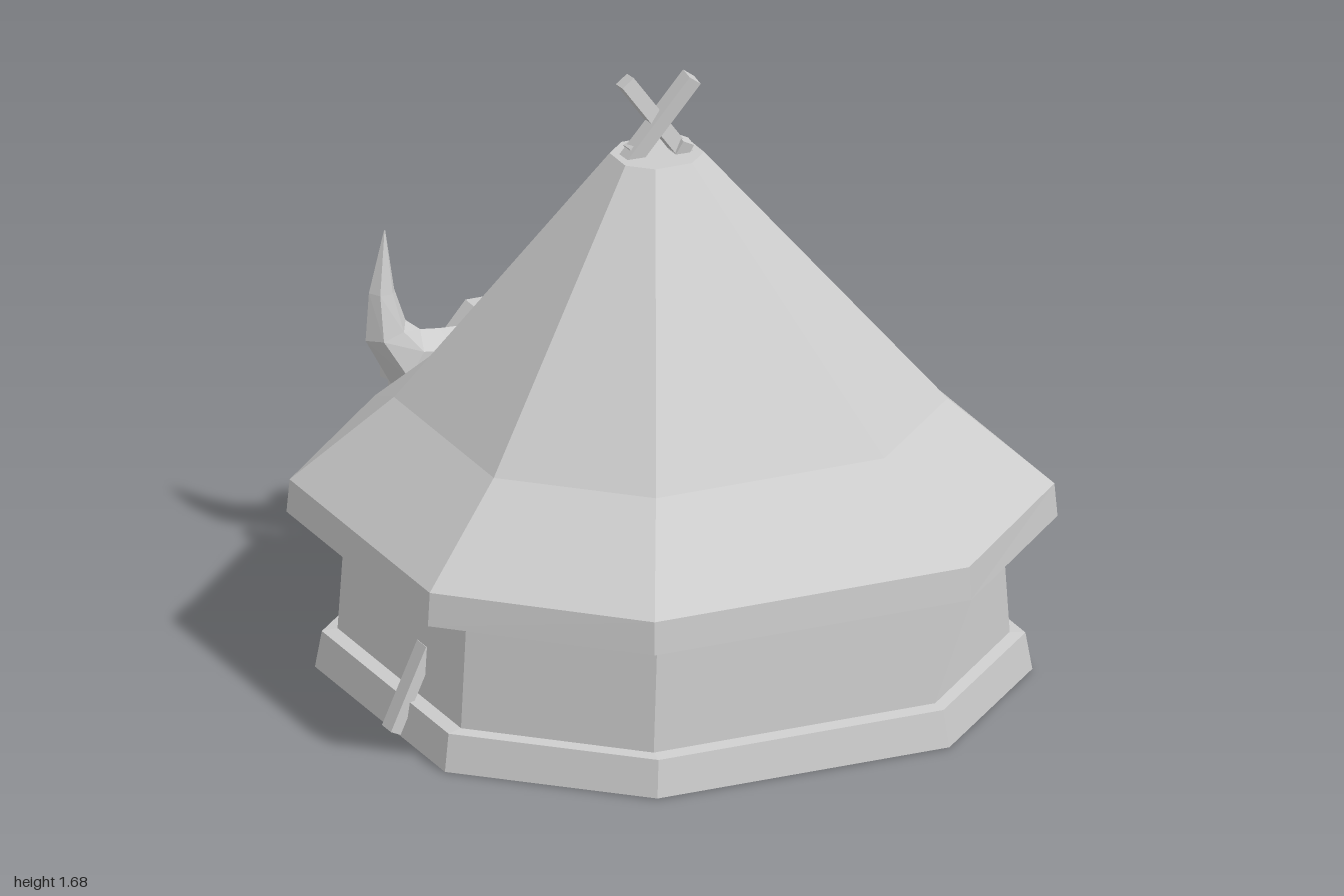
import * as THREE from 'three';

const clay = new THREE.MeshStandardMaterial({ color: 0xcccccc, side: THREE.DoubleSide, flatShading: true });
clay.name = 'light grey';

const CX = -0.03; // mirror plane of the hut

// Eight-cornered ring: half widths ax, az and half lengths bx, bz of the straight sides
function octagon(y, cx, cz, ax, az, bx, bz) {
  return [[ax, -bz], [ax, bz], [bx, az], [-bx, az], [-ax, bz], [-ax, -bz], [-bx, -az], [bx, -az]]
    .map(([x, z]) => new THREE.Vector3(cx + x, y, cz + z));
}

// Skin over successive rings, with optional flat ends
function loft(rings, capStart = false, capEnd = false) {
  const pts = [];
  const n = rings[0].length;
  const cap = (ring, flip) => {
    for (let i = 1; i < n - 1; i++) {
      pts.push(ring[0], ...(flip ? [ring[i], ring[i + 1]] : [ring[i + 1], ring[i]]));
    }
  };
  for (let r = 0; r < rings.length - 1; r++) {
    for (let i = 0; i < n; i++) {
      const j = (i + 1) % n;
      const [a, b, A, B] = [rings[r][i], rings[r][j], rings[r + 1][i], rings[r + 1][j]];
      pts.push(a, A, b, b, A, B);
    }
  }
  if (capStart) cap(rings[0], true);
  if (capEnd) cap(rings[rings.length - 1], false);
  const g = new THREE.BufferGeometry().setFromPoints(pts);
  g.computeVertexNormals();
  return g;
}

export function createModel() {
  const hut = new THREE.Group();
  hut.name = 'tentHut';

  function add(name, geometry, x = 0, y = 0, z = 0, parent = hut) {
    const m = new THREE.Mesh(geometry, clay);
    m.name = name;
    m.position.set(x, y, z);
    parent.add(m);
    return m;
  }
  const box = (name, x0, x1, y0, y1, z0, z1) =>
    add(name, new THREE.BoxGeometry(x1 - x0, y1 - y0, z1 - z0), (x0 + x1) / 2, (y0 + y1) / 2, (z0 + z1) / 2);

  // Straight timber between two points
  function beam(name, from, to, w, d) {
    const a = new THREE.Vector3(...from), b = new THREE.Vector3(...to);
    const dir = b.clone().sub(a);
    const m = add(name, new THREE.BoxGeometry(w, dir.length(), d), ...a.add(b).multiplyScalar(0.5).toArray());
    m.quaternion.setFromUnitVectors(new THREE.Vector3(0, 1, 0), dir.normalize());
    return m;
  }

  // Plinth, open below with a raised floor
  const wallFoot = octagon(0.105, CX, 0.147, 0.78, 0.738, 0.4, 0.377);
  add('plinth', loft([
    octagon(0, CX, 0.147, 0.835, 0.793, 0.415, 0.397),
    octagon(0.1, CX, 0.147, 0.82, 0.778, 0.405, 0.387),
    wallFoot,
  ]));
  add('floor', loft([octagon(0.09, CX, 0.147, 0.82, 0.778, 0.405, 0.387), wallFoot], true));

  // Walls
  const wallHead = octagon(0.43, CX, 0.147, 0.76, 0.733, 0.387, 0.37);
  add('walls', loft([wallFoot, wallHead]));

  // Flared tent roof with thick eaves
  add('roof', loft([
    wallHead,
    octagon(0.425, CX, 0.137, 0.895, 0.86, 0.45, 0.432),
    octagon(0.515, CX, 0.137, 0.888, 0.855, 0.447, 0.428),
    octagon(0.75, -0.035, 0.14, 0.645, 0.608, 0.325, 0.305),
    octagon(1.457, -0.093, 0.18, 0.112, 0.104, 0.052, 0.048),
  ], false, true));

  // Crossed poles and short stubs at the peak
  beam('peakPole', [-0.01, 1.43, 0.19], [-0.175, 1.662, 0.16], 0.04, 0.045);
  beam('peakPole', [-0.18, 1.43, 0.17], [-0.005, 1.662, 0.205], 0.04, 0.045);
  beam('peakStub', [-0.13, 1.43, 0.17], [-0.157, 1.488, 0.165], 0.035, 0.04);
  beam('peakStub', [-0.05, 1.43, 0.19], [-0.02, 1.488, 0.2], 0.035, 0.04);

  // Entrance porch with a chamfered top
  const arch = (Type, w, top, shoulder, flat, y0) => {
    const s = new Type();
    s.moveTo(-w, y0);
    s.lineTo(w, y0);
    s.lineTo(w, shoulder);
    s.lineTo(flat, top);
    s.lineTo(-flat, top);
    s.lineTo(-w, shoulder);
    s.closePath();
    return s;
  };
  const porch = arch(THREE.Shape, 0.275, 0.685, 0.52, 0.135, 0.03);
  porch.holes.push(arch(THREE.Path, 0.225, 0.64, 0.5, 0.115, 0.05));
  add('porch', new THREE.ExtrudeGeometry(porch, { depth: 0.33, bevelEnabled: false }), CX, 0, -0.835);
  const door = arch(THREE.Shape, 0.23, 0.645, 0.5, 0.117, 0.045);
  add('door', new THREE.ExtrudeGeometry(door, { depth: 0.03, bevelEnabled: false }), CX, 0, -0.815);
  const knob = add('doorKnob', new THREE.CylinderGeometry(0.02, 0.02, 0.035, 6), 0.13, 0.27, -0.83);
  knob.rotation.x = Math.PI / 2;

  // Horns either side of the porch: a tapering six-sided sweep
  const path = [[0.12, 0.6, 0.05], [0.24, 0.575, 0.078], [0.34, 0.59, 0.08], [0.395, 0.67, 0.06], [0.405, 0.78, 0.036], [0.395, 0.945, 0.002]];
  const rings = path.map(([x, y, r], i) => {
    const p = path[Math.max(i - 1, 0)], q = path[Math.min(i + 1, path.length - 1)];
    const t = new THREE.Vector2(q[0] - p[0], q[1] - p[1]).normalize();
    return Array.from({ length: 6 }, (_, k) => {
      const a = -k * Math.PI / 3;
      const c = Math.cos(a) * r;
      return new THREE.Vector3(x - t.y * c, y + t.x * c, -0.755 + Math.sin(a) * r - 0.003 * i);
    });
  });
  const hornShape = loft(rings, true, true);
  for (const side of [1, -1]) {
    add('horn', hornShape, CX).scale.x = side;
    // Posts at the rear wall corners
    beam('rearPost', [CX + side * 0.4, 0, -0.6], [CX + side * 0.39, 0.44, -0.635], 0.05, 0.05);
    // Short posts against the porch sides
    box('porchJamb', CX + side * 0.29 - 0.03, CX + side * 0.29 + 0.03, 0.02, 0.5, -0.68, -0.62);
    // Leaning props on the side walls
    if (side > 0) beam('sideProp', [0.83, 0.02, 0.27], [0.765, 0.14, 0.27], 0.03, 0.055);
    else beam('sideProp', [-0.89, 0.02, 0.27], [-0.79, 0.24, 0.27], 0.03, 0.055);
  }

  // Lantern hanging from a bracket
  box('lanternBracket', -0.335, -0.26, 0.42, 0.54, -0.94, -0.82);
  add('lanternCap', new THREE.CylinderGeometry(0.06, 0.06, 0.033, 5), -0.292, 0.473, -0.943).rotation.y = Math.PI;
  add('lanternBody', new THREE.CylinderGeometry(0.045, 0.045, 0.14, 5), -0.292, 0.39, -0.93).rotation.y = Math.PI;

  // Window with frame, mullion and awning
  box('windowPanel', 0.7, 0.785, 0.135, 0.35, -0.06, 0.305);
  for (const y of [0.17, 0.32]) box('windowRail', 0.78, 0.82, y - 0.008, y + 0.012, -0.025, 0.275);
  for (const z of [-0.015, 0.145, 0.265]) box('windowBar', 0.78, 0.82, 0.17, 0.325, z - 0.015, z + 0.015);
  beam('awning', [0.735, 0.405, 0.125], [0.9, 0.337, 0.125], 0.032, 0.41);

  // Tapered bucket with a deep rim and slanted staves
  const bucket = new THREE.Group();
  bucket.name = 'bucket';
  bucket.position.set(0.755, 0, -0.66);
  hut.add(bucket);
  add('bucketBody', new THREE.CylinderGeometry(0.142, 0.108, 0.2, 8), 0, 0.1, 0, bucket);
  add('bucketRim', new THREE.CylinderGeometry(0.165, 0.148, 0.075, 8), 0, 0.2275, 0, bucket);
  for (let i = 0; i < 8; i += 2) {
    const arm = new THREE.Group();
    arm.name = 'bucketStave';
    arm.rotation.y = i * Math.PI / 4 + 0.35;
    bucket.add(arm);
    add('stave', new THREE.BoxGeometry(0.018, 0.2, 0.03), 0.124, 0.11, 0, arm).rotation.set(0.2, 0, -0.17);
  }
  return hut;
}
